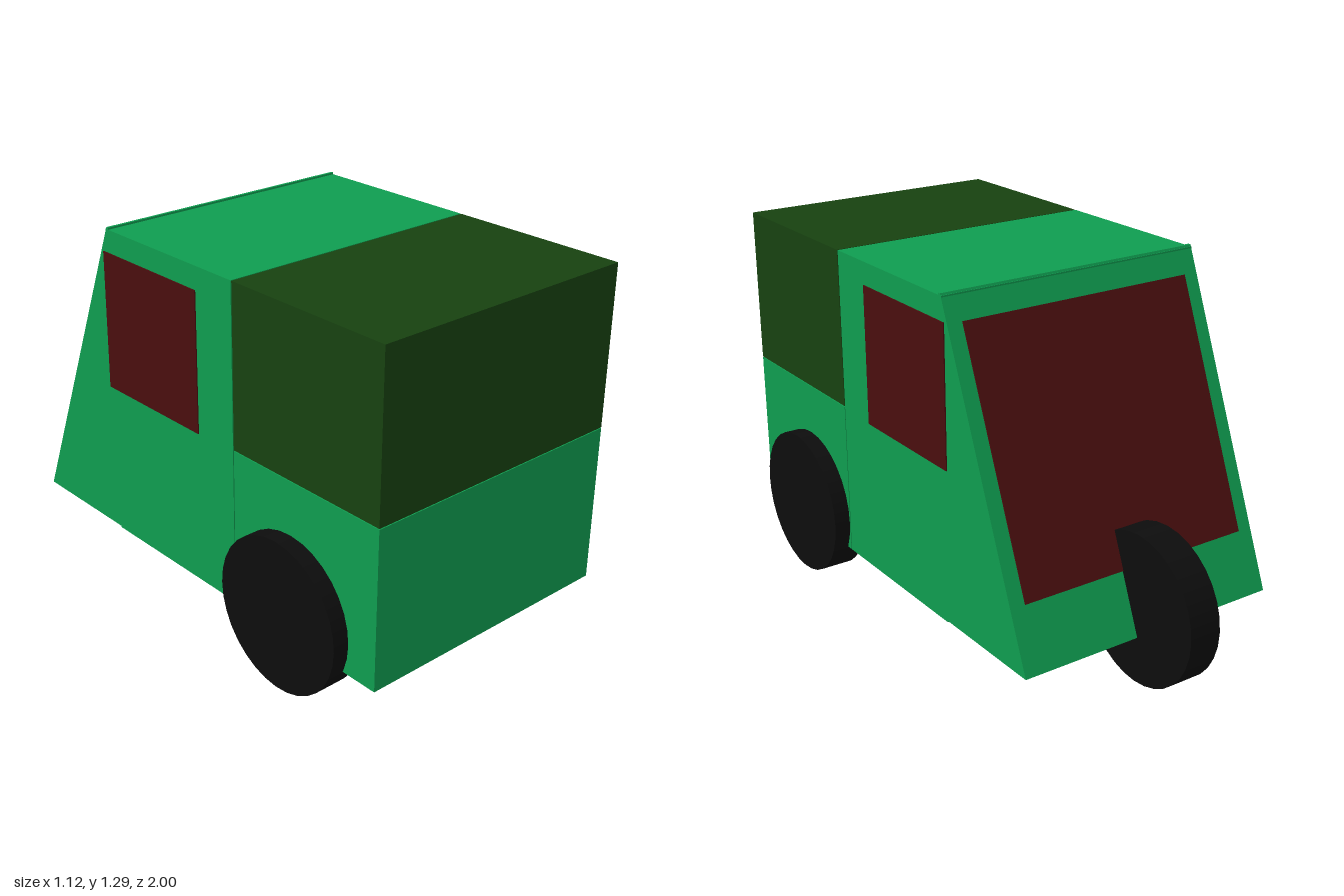
import * as THREE from 'three';

const paint = (color) => new THREE.MeshStandardMaterial({ color });

export function createModel() {
  const model = new THREE.Group();
  const green = paint(0x0f9d50);
  const darkGreen = paint(0x174210);
  const glass = paint(0x4a0e0e);
  const rubber = paint(0x0d0d0d);

  const add = (name, geometry, material, x, y, z) => {
    const mesh = new THREE.Mesh(geometry, material);
    mesh.name = name;
    mesh.position.set(x, y, z);
    model.add(mesh);
    return mesh;
  };

  // Box given by its width and its y and z ranges, centred on x
  const block = (name, material, width, y0, y1, z0, z1) =>
    add(name, new THREE.BoxGeometry(width, y1 - y0, z1 - z0), material, 0, (y0 + y1) / 2, (z0 + z1) / 2);

  // Body: cargo bed, cargo cover and cab
  block('cargoBed', green, 1, 0.16, 0.715, 0.352, 1);
  block('cargoCover', darkGreen, 1, 0.718, 1.28, 0.352, 1);
  block('cab', green, 1, 0.16, 1.28, -0.3, 0.348);

  // Sloped nose: a triangular prism drawn in (z, y) and swept across x
  const top = [-0.295, 1.287], tip = [-0.745, 0.165];
  const profile = new THREE.Shape([
    new THREE.Vector2(-0.285, 0.165),
    new THREE.Vector2(-0.285, 1.287),
    new THREE.Vector2(...top),
    new THREE.Vector2(...tip),
  ]);
  const nose = new THREE.ExtrudeGeometry(profile, { depth: 1, bevelEnabled: false });
  nose.rotateY(-Math.PI / 2);
  add('slopedNose', nose, green, 0.5, 0, 0);

  // Windscreen lying on the slope
  const run = top[0] - tip[0], rise = top[1] - tip[1];
  const screenY = 0.785;
  const screenZ = tip[0] + ((screenY - tip[1]) / rise) * run;
  const screen = add('windscreen', new THREE.BoxGeometry(0.89, 0.89, 0.008), glass, 0, screenY, screenZ);
  screen.rotation.x = Math.atan2(run, rise);

  // Side windows
  for (const [side, s] of [['left', 1], ['right', -1]])
    add(side + 'Window', new THREE.BoxGeometry(0.008, 0.49, 0.49), glass, s * 0.5, 0.955, -0.07);

  // Three wheels
  const wheel = new THREE.CylinderGeometry(0.265, 0.265, 0.118, 32).rotateZ(Math.PI / 2);
  add('leftWheel', wheel, rubber, 0.5, 0.265, 0.62);
  add('rightWheel', wheel, rubber, -0.5, 0.265, 0.62);
  add('singleWheel', wheel, rubber, 0, 0.265, -0.735);

  return model;
}
